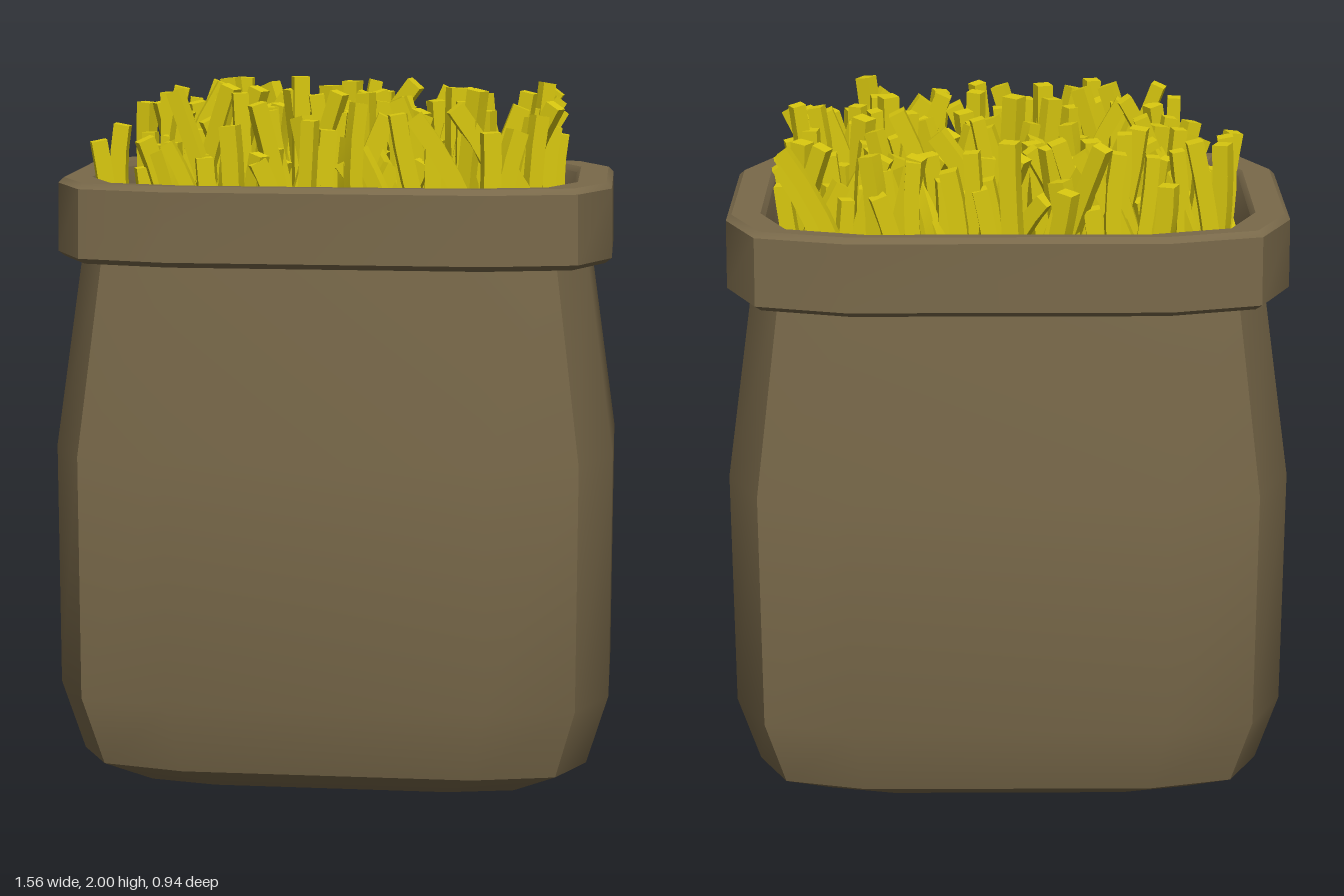
import * as THREE from 'three';
import { mergeGeometries, toCreasedNormals } from 'three/addons/utils/BufferGeometryUtils.js';

// Twelve-cornered outline of the sack, on a unit half-width and half-depth
const quarter = [[1, 0.51], [0.885, 0.872], [0.565, 1]];
const flip = (pts, sx, sz) => pts.map(([x, z]) => [x * sx, z * sz]);
const outline = [
  ...quarter,
  ...flip([...quarter].reverse(), -1, 1),
  ...flip(quarter, -1, -1),
  ...flip([...quarter].reverse(), 1, -1),
];

// Skin through scaled outlines; each ring is [y, half-width, half-depth]
function loft(rings) {
  const pos = [];
  const n = outline.length;
  const point = ([y, w, d], i) => [outline[i % n][0] * w, y, outline[i % n][1] * d];
  for (let j = 0; j < rings.length - 1; j++) {
    for (let i = 0; i < n; i++) {
      const a = point(rings[j], i), b = point(rings[j], i + 1);
      const c = point(rings[j + 1], i), d = point(rings[j + 1], i + 1);
      if (rings[j][1] > 0) pos.push(...a, ...c, ...b);
      if (rings[j + 1][1] > 0) pos.push(...b, ...c, ...d);
    }
  }
  const geo = new THREE.BufferGeometry();
  geo.setAttribute('position', new THREE.Float32BufferAttribute(pos, 3));
  return toCreasedNormals(geo, 0.6);
}

// Small seeded generator
function seeded(seed) {
  return () => {
    seed = (seed * 1664525 + 1013904223) % 4294967296;
    return seed / 4294967296;
  };
}

// Square stick bent along an arc in its own xy plane, then turned about y
function bentStick(size, length, lean, bend, yaw) {
  const geo = new THREE.BoxGeometry(size, 1, size, 1, 4, 1);
  const p = geo.attributes.position;
  const centre = [[0, 0]];
  for (let k = 0; k < 4; k++) {
    const a = lean + bend * (k + 0.5) / 4;
    centre.push([centre[k][0] + Math.sin(a) * length / 4, centre[k][1] + Math.cos(a) * length / 4]);
  }
  for (let i = 0; i < p.count; i++) {
    const k = Math.round((p.getY(i) + 0.5) * 4);
    const a = lean + bend * k / 4;
    const x = p.getX(i);
    p.setXY(i, centre[k][0] + x * Math.cos(a), centre[k][1] - x * Math.sin(a));
  }
  geo.rotateY(yaw);
  return toCreasedNormals(geo, 0.6);
}

export function createModel() {
  const group = new THREE.Group();
  const paper = new THREE.MeshStandardMaterial({ color: 0x79694a });
  const potato = new THREE.MeshStandardMaterial({ color: 0xd9c80f });
  const add = (name, geo, mat) => {
    const mesh = new THREE.Mesh(geo, mat);
    mesh.name = name;
    group.add(mesh);
  };

  // Sack with tucked base and narrowing neck
  add('sackBody', loft([
    [0, 0, 0], [0, 0.585, 0.29], [0.075, 0.72, 0.41], [0.28, 0.78, 0.47],
    [0.97, 0.78, 0.47], [1.53, 0.7, 0.425],
  ]), paper);

  // Folded cuff: underside, outer band, rim and inner wall
  add('foldedCuff', loft([
    [1.52, 0.68, 0.41], [1.505, 0.75, 0.447], [1.52, 0.768, 0.463], [1.71, 0.765, 0.46],
    [1.725, 0.75, 0.447], [1.725, 0.672, 0.422], [1.71, 0.66, 0.412], [1.59, 0.645, 0.395],
  ]), paper);

  // Flat bed beneath the sticks
  add('fryBed', loft([[1.6, 0.655, 0.4], [1.6, 0, 0]]), potato);

  // Sticks on a jittered grid, leaning mostly sideways
  const rand = seeded(11);
  const spread = (r) => (rand() * 2 - 1) * r;
  const sticks = [];
  const cols = 20, rows = 12;
  for (let r = 0; r < rows; r++) {
    for (let c = 0; c < cols; c++) {
      const x = (c / (cols - 1) * 2 - 1) * 0.59 + spread(0.03);
      const z = (r / (rows - 1) * 2 - 1) * 0.35 + spread(0.025);
      const lean = 0.05 + rand() * 0.3;
      const bend = spread(0.4);
      const top = 1.76 + 0.22 * rand();
      const side = rand() < 0.5 ? 0 : Math.PI;
      const geo = bentStick(0.036 + rand() * 0.012, 1, lean, bend, side + spread(0.7));
      // Scale the arc's height so the tip reaches its level
      geo.computeBoundingBox();
      const run = (top - 1.57) / geo.boundingBox.max.y;
      geo.dispose();
      const stick = bentStick(0.036 + rand() * 0.012, run, lean, bend, side + spread(0.6));
      stick.translate(x, 1.57, z);
      stick.computeBoundingBox();
      const { min, max } = stick.boundingBox;
      const reachX = Math.max(-min.x, max.x), reachZ = Math.max(-min.z, max.z);
      const atCorner = Math.abs(x) / 0.64 + Math.abs(z) / 0.39 > 1.62;
      if (reachX > 0.68 || reachZ > 0.43 || max.y > 2 || atCorner) continue;
      sticks.push(stick);
    }
  }
  // One upright stick marks the full height
  const tall = bentStick(0.044, 0.43, 0, 0, 0.3);
  tall.translate(-0.1, 1.57, 0.12);
  sticks.push(tall);
  add('fries', mergeGeometries(sticks), potato);

  return group;
}
